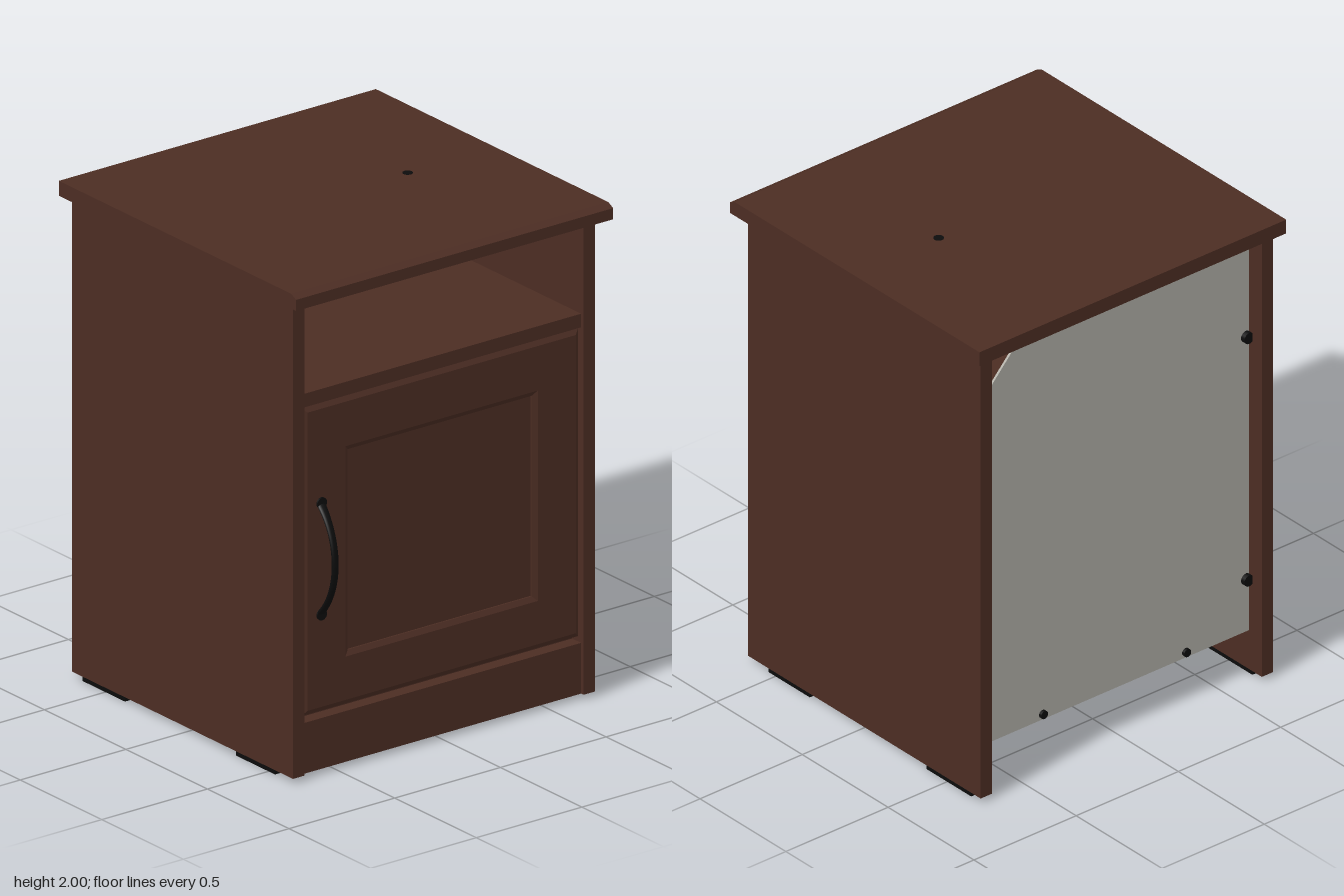
import * as THREE from 'three';

const wood = new THREE.MeshStandardMaterial({ color: 0x4c2d23 });
wood.name = 'dark brown wood';
const backing = new THREE.MeshStandardMaterial({ color: 0xb0aea6 });
backing.name = 'pale grey backing';
const black = new THREE.MeshStandardMaterial({ color: 0x0c0c0c });
black.name = 'black fittings';

export function createModel() {
  const model = new THREE.Group();
  model.name = 'bedsideCabinet';

  const add = (name, geometry, material) => {
    const mesh = new THREE.Mesh(geometry, material);
    mesh.name = name;
    model.add(mesh);
    return mesh;
  };
  // Box given by its lower and upper limits
  const box = (name, [x0, x1], [y0, y1], [z0, z1], material = wood) =>
    add(name, new THREE.BoxGeometry(x1 - x0, y1 - y0, z1 - z0), material)
      .position.set((x0 + x1) / 2, (y0 + y1) / 2, (z0 + z1) / 2);
  const polygon = (points) => new THREE.Shape(points.map(([x, y]) => new THREE.Vector2(x, y)));
  const rectangle = (x0, x1, y0, y1) => [[x0, y0], [x1, y0], [x1, y1], [x0, y1]];

  // Top board: side profile with a chamfered front edge, drawn out along x
  const topProfile = polygon([[-0.735, 1.94], [0.72, 1.94], [0.72, 1.985], [0.69, 2], [-0.735, 2]]);
  const top = new THREE.ExtrudeGeometry(topProfile, { depth: 1.5, bevelEnabled: false });
  top.translate(0, 0, -0.75).rotateY(-Math.PI / 2);
  add('topBoard', top, wood);

  // Carcass
  for (const [name, s] of [['leftSide', 1], ['rightSide', -1]]) {
    const x = s > 0 ? [0.66, 0.715] : [-0.715, -0.66];
    box(name, x, [0.02, 1.94], [-0.7, 0.655]);
    for (const z of [[0.3, 0.54], [-0.64, -0.38]]) {
      box('footPad', [x[0] + 0.004, x[1] - 0.004], [0, 0.02], z, black);
    }
  }
  box('openShelf', [-0.66, 0.66], [1.5, 1.555], [-0.615, 0.64]);
  box('floorBoard', [-0.66, 0.66], [0.19, 0.245], [-0.615, 0.585]);
  box('kickBoard', [-0.66, 0.66], [0.02, 0.225], [0.585, 0.64]);

  // Thin back panel with one clipped upper corner
  const backShape = polygon([[-0.66, 0.19], [0.66, 0.19], [0.66, 1.68], [0.42, 1.94], [-0.66, 1.94]]);
  const back = new THREE.ExtrudeGeometry(backShape, { depth: 0.01, bevelEnabled: false });
  add('backPanel', back.translate(0, 0, -0.625), backing);

  // Door: bevelled frame around a recessed panel
  const frame = polygon(rectangle(-0.655, 0.655, 0.25, 1.495));
  frame.holes.push(new THREE.Path(
    rectangle(-0.435, 0.435, 0.465, 1.275).reverse().map(([x, y]) => new THREE.Vector2(x, y))));
  const frameGeometry = new THREE.ExtrudeGeometry(frame, {
    depth: 0.03, bevelThickness: 0.012, bevelSize: 0.02, bevelOffset: -0.02, bevelSegments: 1,
  });
  add('doorFrame', frameGeometry.translate(0, 0, 0.598), wood);
  box('doorPanel', [-0.45, 0.45], [0.45, 1.29], [0.592, 0.622]);

  // Bowed handle: a flattened tube that widens towards both ends
  const arc = [];
  for (let i = 0; i <= 12; i++) {
    const a = (i / 6 - 1) * 0.83;
    arc.push(new THREE.Vector3(0, Math.sin(a) * 0.32, 0.406 + Math.cos(a) * 0.32));
  }
  const handle = new THREE.TubeGeometry(new THREE.CatmullRomCurve3(arc), 32, 0.009, 10);
  const p = handle.attributes.position;
  for (let i = 0; i < p.count; i++) {
    p.setX(i, p.getX(i) * (1.7 + 0.8 * Math.pow(p.getY(i) / 0.235, 4)));
  }
  handle.computeVertexNormals();
  add('handle', handle, black).position.set(-0.57, 0.87, 0);

  // Round fittings: handle plates, back panel pins and cap on the top
  const disc = (name, x, y, z, radius, length) => {
    const geometry = new THREE.CylinderGeometry(radius, radius, length, 14);
    const mesh = add(name, geometry.rotateX(Math.PI / 2), black);
    mesh.position.set(x, y, z);
    return mesh;
  };
  for (const y of [0.645, 1.095]) disc('handlePlate', -0.57, y, 0.642, 0.023, 0.01);
  for (const s of [-1, 1]) {
    for (const y of [0.42, 1.48]) disc('sidePin', s * 0.645, y, -0.63, 0.024, 0.03);
    disc('lowerPin', s * 0.35, 0.215, -0.628, 0.017, 0.02);
    disc('upperPin', s * 0.35, 1.92, -0.63, 0.022, 0.03);
    for (const z of [-0.45, 0.45]) {
      disc('floorScrew', s * 0.6, 0.187, z, 0.014, 0.008).rotation.x = Math.PI / 2;
    }
  }
  disc('topCap', 0.333, 1.999, 0, 0.02, 0.006).rotation.x = Math.PI / 2;

  return model;
}
